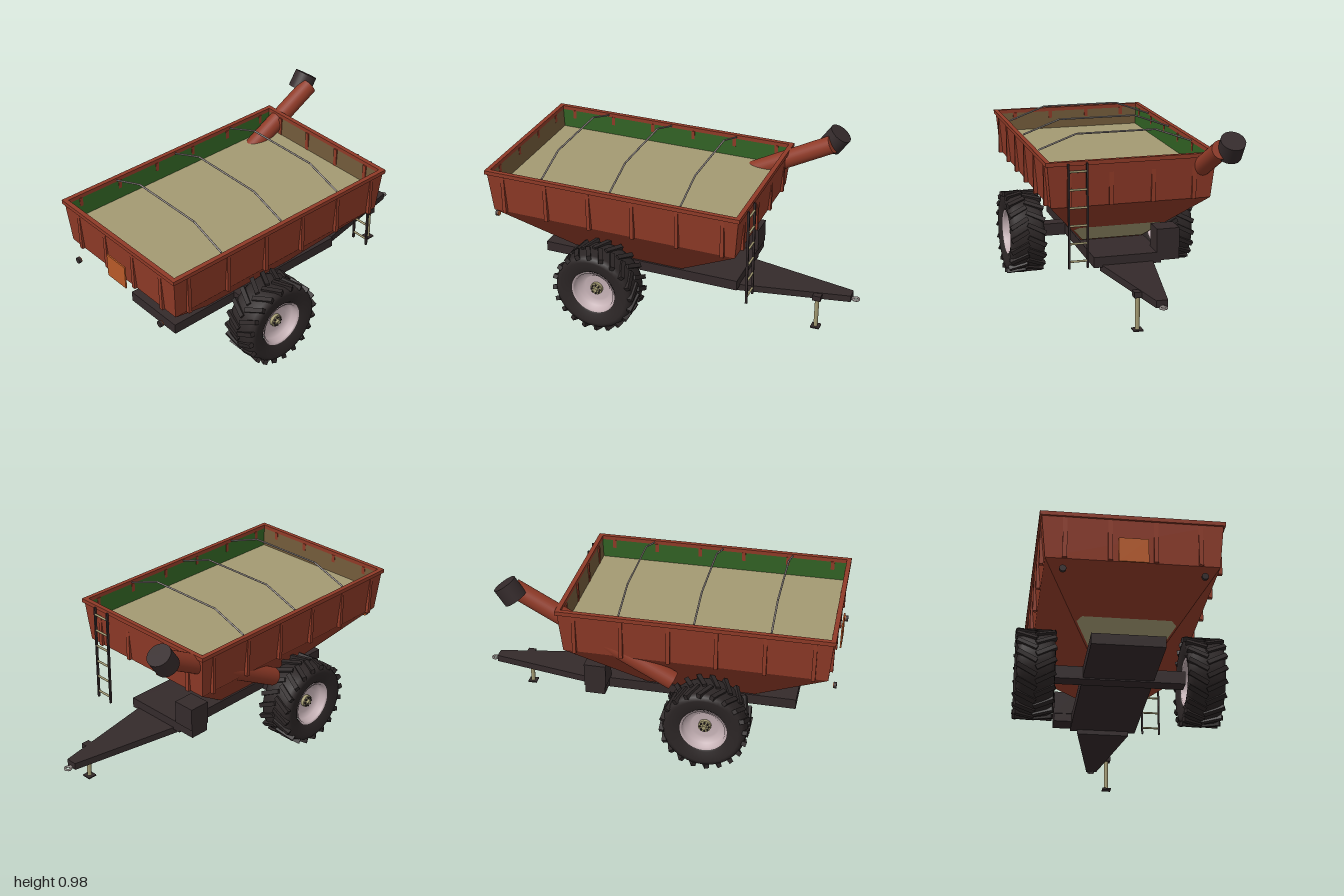
import * as THREE from 'three';

const mat = (name, color, side = THREE.FrontSide) => {
  const m = new THREE.MeshStandardMaterial({ color, side });
  m.name = name;
  return m;
};

export function createModel() {
  const root = new THREE.Group();
  root.name = 'grainCart';
  const red = mat('rustRed', 0x8f3a27);
  const orange = mat('orange', 0xb85a28);
  const dark = mat('darkFrame', 0x342a2b);
  const rubber = mat('tyreRubber', 0x2c2626);
  const khaki = mat('khaki', 0xa39a72, THREE.DoubleSide);
  const steel = mat('steel', 0x8d8582);
  const rimGrey = mat('wheelGrey', 0xc4b0b4, THREE.DoubleSide);
  const green = mat('linerGreen', 0x2f5f22, THREE.DoubleSide);
  const brown = mat('linerBrown', 0x705939, THREE.DoubleSide);

  const add = (name, geo, m, x = 0, y = 0, z = 0, parent = root) => {
    const mesh = new THREE.Mesh(geo, m);
    mesh.name = name;
    mesh.position.set(x, y, z);
    parent.add(mesh);
    return mesh;
  };
  // box given by its minimum and maximum on each axis
  const block = (name, m, x0, x1, y0, y1, z0, z1) =>
    add(name, new THREE.BoxGeometry(x1 - x0, y1 - y0, z1 - z0), m, (x0 + x1) / 2, (y0 + y1) / 2, (z0 + z1) / 2);
  // round bar between two points
  const bar = (name, m, a, b, r, sides = 10) => {
    const p = new THREE.Vector3(...a), q = new THREE.Vector3(...b);
    const mesh = add(name, new THREE.CylinderGeometry(r, r, p.distanceTo(q), sides), m);
    mesh.position.copy(p).add(q).multiplyScalar(0.5);
    mesh.quaternion.setFromUnitVectors(new THREE.Vector3(0, 1, 0), q.sub(p).normalize());
    return mesh;
  };
  const quads = (list) => {
    const g = new THREE.BufferGeometry();
    const pts = list.flatMap(([a, b, c, d]) => [a, b, c, a, c, d]).flat();
    g.setAttribute('position', new THREE.Float32BufferAttribute(pts, 3));
    g.computeVertexNormals();
    return g;
  };
  // rectangular section: half width, back z, front z, height
  const loop = (w, zb, zf, y) => [[-w, y, zf], [w, y, zf], [w, y, zb], [-w, y, zb]];
  const side = (lo, hi, i) => [lo[i], lo[(i + 1) % 4], hi[(i + 1) % 4], hi[i]];

  // tub: upper walls and sloped hopper
  const top = loop(0.452, -0.452, 0.976, 0.81);
  const mid = loop(0.43, -0.43, 0.96, 0.575);
  const low = loop(0.17, -0.03, 0.555, 0.265);
  add('upperWalls', quads([0, 1, 2, 3].map((i) => side(mid, top, i))), red);
  add('hopper', quads([0, 1, 2, 3].map((i) => side(low, mid, i))), red);

  // inner lining and grain
  const inTop = loop(0.438, -0.438, 0.962, 0.812);
  const inLow = loop(0.428, -0.43, 0.952, 0.69);
  add('sideLining', quads([1, 3].map((i) => side(inLow, inTop, i).reverse())), green);
  add('endLining', quads([0, 2].map((i) => side(inLow, inTop, i).reverse())), brown);
  add('grain', quads([loop(0.43, -0.431, 0.953, 0.695)]), khaki);

  // rim
  for (const s of [-1, 1]) {
    add('sideRim', new THREE.BoxGeometry(0.025, 0.022, 1.446), red, s * 0.4485, 0.81, 0.2625);
    add('endRim', new THREE.BoxGeometry(0.9, 0.022, 0.025), red, 0, 0.81, 0.2625 + s * 0.7105);
  }

  // wall ribs
  for (const s of [-1, 1]) {
    for (let i = 0; i < 6; i++)
      add('sideRib', new THREE.BoxGeometry(0.02, 0.224, 0.02), red, s * 0.443, 0.688, 0.885 - i * 0.25);
    for (const x of [-0.335, -0.113, 0.113, 0.335])
      add('endRib', new THREE.BoxGeometry(0.022, 0.224, 0.018), red, x, 0.688, 0.2645 + s * 0.702);
  }

  // pale patches at the foot of the hopper's end slopes
  const slope = (y, w, sgn) => {
    const t = (y - 0.265) / 0.31;
    const z = sgn > 0 ? 0.555 + 0.405 * t : -0.03 - 0.4 * t;
    return [w, y - 0.003, z + sgn * 0.003];
  };
  const patch = (sgn) => {
    const p = [[0.28, 0.17], [0.375, 0.25], [0.392, 0.225]].map(([y, w]) => slope(y, w, sgn));
    const m = p.map(([x, y, z]) => [-x, y, z]);
    return [0, 1].map((i) => [m[i], p[i], p[i + 1], m[i + 1]]);
  };
  add('frontSlopePatch', quads(patch(1)), khaki);
  add('backSlopePatch', quads(patch(-1).map((q) => q.reverse())), khaki);
  block('hopperOutlet', khaki, -0.17, 0.17, 0.262, 0.3, 0.1, 0.585);

  // cover bows
  for (const z of [0.66, 0.265, -0.13]) {
    const pts = [[-0.425, 0.815], [-0.22, 0.89], [0.22, 0.89], [0.425, 0.815]];
    for (let i = 0; i < 3; i++) bar('coverBow', steel, [...pts[i], z], [...pts[i + 1], z], 0.005, 8);
  }

  // tail panel and lamps
  block('tailPanel', orange, -0.075, 0.073, 0.56, 0.69, 0.986, 0.994);
  for (const s of [-1, 1]) {
    bar('tailLamp', dark, [s * 0.345, 0.5, 0.986], [s * 0.345, 0.5, 1], 0.017, 16);
    bar('tailLampBack', orange, [s * 0.345, 0.5, 0.982], [s * 0.345, 0.5, 0.986], 0.016, 16);
  }

  // unloading auger and spout
  bar('augerTube', red, [-0.385, 0.435, 0.15], [-0.385, 0.893, -0.697], 0.05, 28);
  bar('augerSpout', dark, [-0.436, 0.94, -0.728], [-0.436, 0.858, -0.672], 0.065, 28);

  // chassis, axle, gearbox
  block('chassis', dark, -0.185, 0.185, 0.212, 0.27, -0.36, 0.785);
  block('axle', dark, -0.35, 0.35, 0.205, 0.275, 0.3, 0.38);
  block('gearbox', dark, -0.285, -0.16, 0.27, 0.4, -0.365, -0.245);
  block('gearboxBracket', dark, -0.285, -0.16, 0.225, 0.27, -0.36, -0.25);

  // tapered drawbar and hitch ring
  const plan = new THREE.Shape([[-0.145, 0.335], [0.145, 0.335], [0.03, 0.955], [-0.03, 0.955]]
    .map(([x, y]) => new THREE.Vector2(x, y)));
  const barGeo = new THREE.ExtrudeGeometry(plan, { depth: 0.038, bevelEnabled: false }).rotateX(-Math.PI / 2);
  add('drawbar', barGeo, dark, 0, 0.186, 0);
  add('hitchRing', new THREE.TorusGeometry(0.016, 0.006, 8, 20).rotateX(Math.PI / 2), steel, 0, 0.192, -0.978);
  block('hitchShank', steel, -0.01, 0.01, 0.186, 0.198, -0.962, -0.95);

  // parking jack
  block('jackBracket', dark, 0.03, 0.095, 0.19, 0.22, -0.805, -0.76);
  bar('jackLeg', khaki, [0.073, 0.015, -0.782], [0.073, 0.215, -0.782], 0.012, 12);
  block('jackFoot', dark, 0.048, 0.098, 0.012, 0.019, -0.807, -0.757);

  // ladder
  for (const x of [0.247, 0.345]) block('ladderRail', dark, x - 0.005, x + 0.005, 0.257, 0.812, -0.475, -0.463);
  for (let i = 0; i < 6; i++) {
    const y = 0.295 + i * 0.095;
    bar('ladderRung', khaki, [0.247, y, -0.469], [0.345, y, -0.469], 0.006, 8);
  }

  // wheels: lathed tyre and rim turned onto the x axis, with chevron lugs
  const turned = (pts, n = 48) =>
    new THREE.LatheGeometry(pts.map(([r, h]) => new THREE.Vector2(r, h)), n).rotateZ(-Math.PI / 2);
  const tyreGeo = turned([[0.122, -0.075], [0.135, -0.088], [0.19, -0.098], [0.213, -0.093], [0.222, -0.07],
    [0.224, 0], [0.222, 0.07], [0.213, 0.093], [0.19, 0.098], [0.135, 0.088], [0.122, 0.075]]);
  const rimGeo = turned([[0.124, -0.08], [0.112, -0.078], [0.106, -0.04], [0.07, 0.025], [0.001, 0.025]]);
  const outerRimGeo = turned([[0.001, 0.03], [0.072, 0.03], [0.08, 0.04], [0.108, 0.045], [0.114, 0.08], [0.126, 0.084]]);
  const lugGeo = new THREE.BoxGeometry(0.112, 0.024, 0.026);
  for (const s of [-1, 1]) {
    const wheel = new THREE.Group();
    wheel.name = s > 0 ? 'leftWheel' : 'rightWheel';
    wheel.position.set(s * 0.434, 0.235, 0.34);
    root.add(wheel);
    add('tyre', tyreGeo, rubber, 0, 0, 0, wheel);
    const hub = new THREE.Group();
    hub.name = 'hub';
    hub.rotation.y = s > 0 ? 0 : Math.PI;
    wheel.add(hub);
    add('outerRim', outerRimGeo, rimGrey, 0, 0, 0, hub);
    add('innerRim', rimGeo, rimGrey, 0, 0, 0, hub);
    add('hubCap', new THREE.CylinderGeometry(0.034, 0.034, 0.02, 24).rotateZ(-Math.PI / 2), khaki, 0.038, 0, 0, hub);
    add('hubCentre', new THREE.CylinderGeometry(0.012, 0.012, 0.03, 12).rotateZ(-Math.PI / 2), khaki, 0.05, 0, 0, hub);
    for (let i = 0; i < 8; i++) {
      const a = (i / 8) * Math.PI * 2;
      add('wheelNut', new THREE.CylinderGeometry(0.005, 0.005, 0.012, 6).rotateZ(-Math.PI / 2), dark,
        0.051, Math.sin(a) * 0.024, Math.cos(a) * 0.024, hub);
    }
    for (const h of [-1, 1]) for (let i = 0; i < 20; i++) {
      const pivot = new THREE.Group();
      pivot.name = 'lug';
      pivot.rotation.x = ((i + (h > 0 ? 0.5 : 0)) / 20) * Math.PI * 2;
      wheel.add(pivot);
      add('lugBar', lugGeo, rubber, h * 0.048, 0, 0.221, pivot).rotation.z = h * 0.48;
    }
  }
  return root;
}
